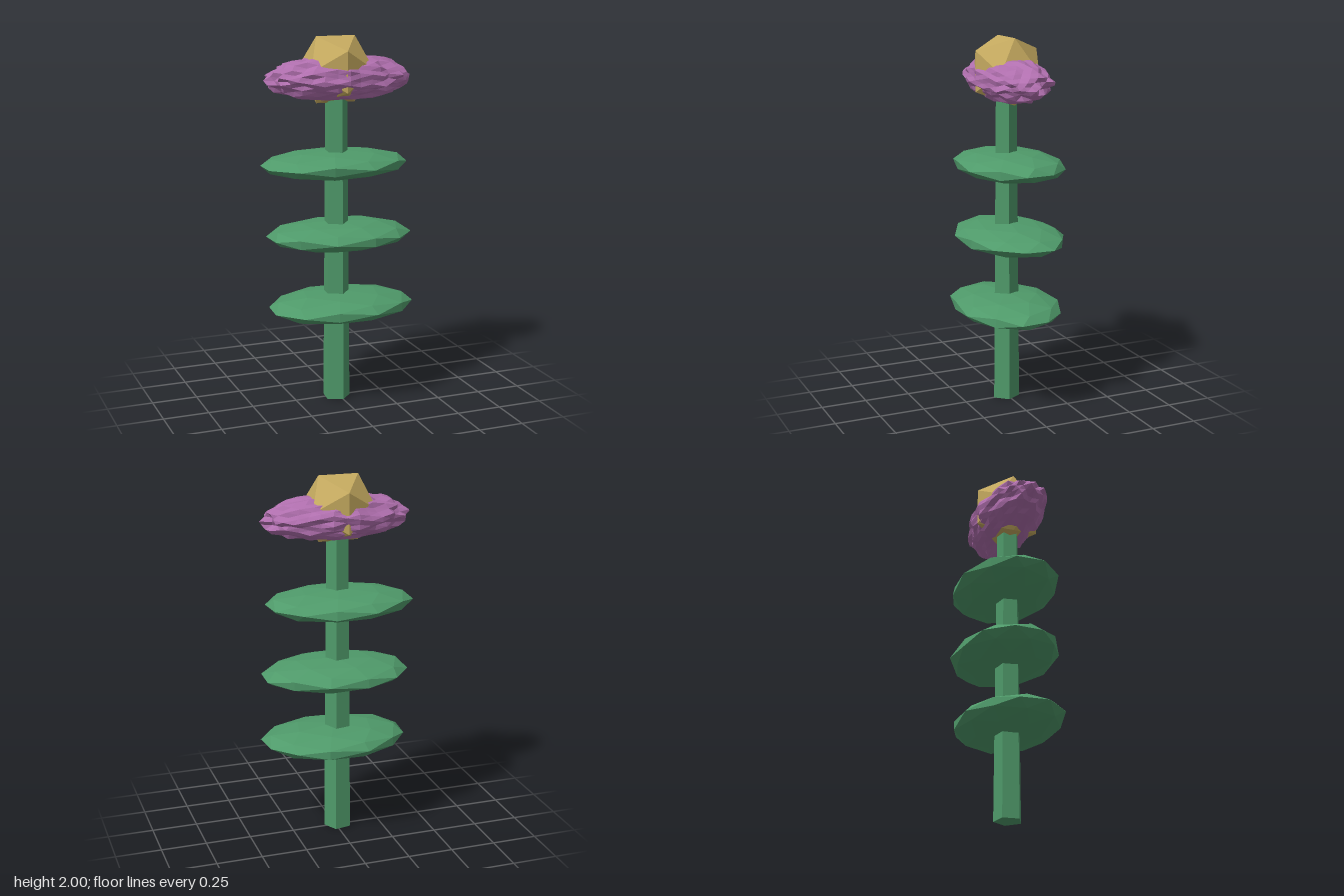
import * as THREE from 'three';

const mat = (color) => new THREE.MeshStandardMaterial({ color, flatShading: true });

// Repeatable 0..1 value for a point, so shared corners move together
function hash(v, seed) {
  const q = (n) => Math.round(n * 100);
  const s = Math.sin(q(v.x) * 12.99 + q(v.y) * 78.23 + q(v.z) * 37.72 + seed) * 43758.55;
  return s - Math.floor(s);
}

// Faceted ball whose vertices are moved by a rule
function shapedBall(detail, rule) {
  const geo = new THREE.IcosahedronGeometry(1, detail);
  const pos = geo.attributes.position;
  const v = new THREE.Vector3();
  for (let i = 0; i < pos.count; i++) {
    v.fromBufferAttribute(pos, i);
    rule(v);
    pos.setXYZ(i, v.x, v.y, v.z);
  }
  geo.computeVertexNormals();
  return geo;
}

export function createModel() {
  const group = new THREE.Group();
  const green = mat(0x4f9a6a);
  const add = (name, geo, material, x, y, z) => {
    const mesh = new THREE.Mesh(geo, material);
    mesh.name = name;
    mesh.position.set(x, y, z);
    group.add(mesh);
    return mesh;
  };

  // Five-sided tapering stem
  const stem = add('stem', new THREE.CylinderGeometry(0.061, 0.077, 1.74, 5), green, -0.014, 0.87, 0.006);
  stem.rotation.y = 0.2;

  // Three flat oval leaves, each turned a little differently
  const leaves = [
    { x: 0.007, y: 0.536, z: 0.015, turn: 0.28 },
    { x: 0.007, y: 0.927, z: -0.007, turn: -0.28 },
    { x: -0.015, y: 1.317, z: -0.015, turn: 0.3 },
  ];
  leaves.forEach(({ x, y, z, turn }, i) => {
    const geo = shapedBall(1, (v) => {
      const wobble = 0.98 + 0.05 * hash(v, i);
      v.x *= wobble;
      v.z *= wobble;
    });
    geo.rotateY(turn);
    geo.scale(0.405, 0.077, 0.284);
    add('leaf' + (i + 1), geo, green, x, y, z);
  });

  // Spiky flattened blossom: jittered ball with a levelled top and bottom
  const petals = shapedBall(5, (v) => {
    const spike = 0.87 + 0.17 * hash(v, 5);
    const y = THREE.MathUtils.clamp(v.y * 0.125 * spike, -0.11, 0.11);
    v.set(v.x * 0.405 * spike, y, v.z * 0.19 * spike);
  });
  add('petals', petals, mat(0xb06fae), 0, 1.78, 0);

  // Faceted flower centre
  add('flowerCentre', new THREE.IcosahedronGeometry(0.207, 0), mat(0xc4a95f), -0.015, 1.824, 0);

  return group;
}
